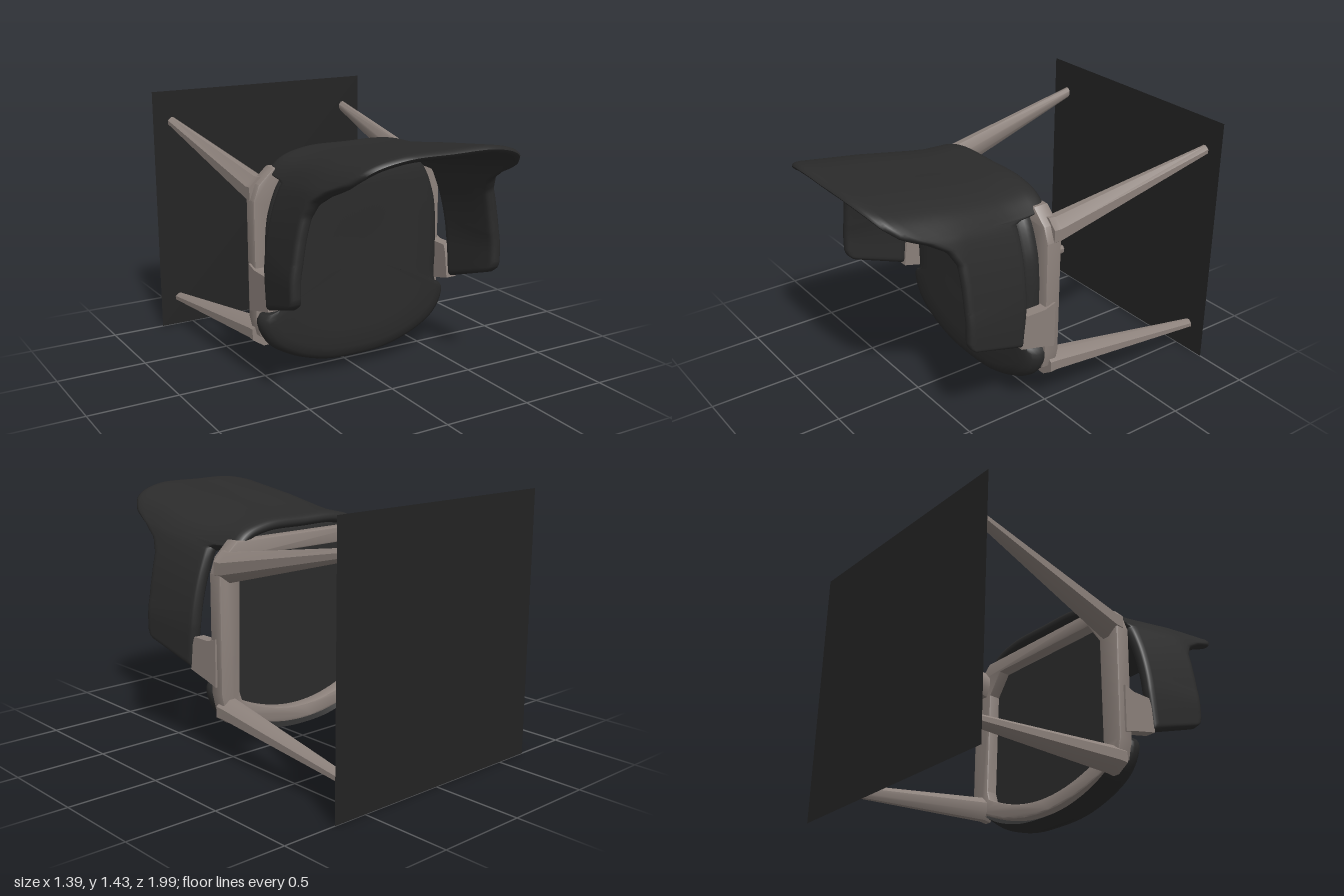
import * as THREE from 'three';
import { toCreasedNormals } from 'three/addons/utils/BufferGeometryUtils.js';

const material = (name, color) => {
  const m = new THREE.MeshStandardMaterial({ color, side: THREE.DoubleSide });
  m.name = name;
  return m;
};

// Linear interpolation in a short [key, value] table
function lookup(table, k) {
  if (k <= table[0][0]) return table[0][1];
  for (let i = 1; i < table.length; i++) {
    const [k0, v0] = table[i - 1], [k1, v1] = table[i];
    if (k <= k1) return v0 + (v1 - v0) * (k - k0) / (k1 - k0);
  }
  return table[table.length - 1][1];
}

// Closed solid through rings of [x, y, z] points, capped at both ends
function loft(rings, crease = 0.6) {
  const n = rings[0].length, pos = rings.flat(2), index = [];
  for (let r = 0; r < rings.length - 1; r++) {
    for (let i = 0; i < n; i++) {
      const a = r * n + i, b = r * n + (i + 1) % n;
      index.push(a, b, b + n, a, b + n, a + n);
    }
  }
  [0, rings.length - 1].forEach((r) => {
    const c = pos.length / 3;
    for (let k = 0; k < 3; k++) pos.push(rings[r].reduce((s, p) => s + p[k], 0) / n);
    for (let i = 0; i < n; i++) {
      const a = r * n + i, b = r * n + (i + 1) % n;
      if (r === 0) index.push(c, b, a); else index.push(c, a, b);
    }
  });
  // turn the faces outward if the signed volume is negative
  const p = (i) => new THREE.Vector3().fromArray(pos, i * 3);
  let volume = 0;
  for (let i = 0; i < index.length; i += 3) volume += p(index[i]).dot(p(index[i + 1]).cross(p(index[i + 2])));
  if (volume < 0) index.reverse();
  const g = new THREE.BufferGeometry();
  g.setAttribute('position', new THREE.Float32BufferAttribute(pos, 3));
  g.setIndex(index);
  return toCreasedNormals(g, crease);
}

// Curve through half an outline mirrored over x = 0
function mirroredCurve(half, closed) {
  const right = half.map(([x, y]) => new THREE.Vector3(x, y, 0));
  const left = half.filter(([x]) => x > 0).map(([x, y]) => new THREE.Vector3(-x, y, 0)).reverse();
  return new THREE.CatmullRomCurve3(closed ? [...right, ...left] : [...left, ...right], closed);
}

// Padded seat: outline rings from the underside over the rim to the domed top
function seatGeometry() {
  const outline = mirroredCurve([[0, 0.06], [0.2, 0.075], [0.4, 0.14], [0.52, 0.22], [0.575, 0.32], [0.572, 0.385],
    [0.53, 0.41], [0.525, 0.6], [0.522, 0.8], [0.5, 0.95], [0.42, 1.12], [0.28, 1.19], [0, 1.2]], true)
    .getSpacedPoints(120).slice(0, 120);
  const lip = [[0.2, -0.015], [0.32, 0.05]];
  const rings = [[0.85, 0.05], [0.9, 0.05], [0.96, null], [0.99, 0.06], [1, 0.09], [0.995, 0.115], [0.975, 0.14],
    [0.94, 0.157], [0.87, 0.168], [0.7, 0.17], [0.35, 0.165]];
  return loft(rings.map(([s, z]) => outline.map((p) =>
    [p.x * s, 0.65 + (p.y - 0.65) * s, z === null ? lookup(lip, p.y) : z])), 1);
}

// Wrap-around back with arms: a plan curve carrying columns of varying height
function backGeometry() {
  const plan = mirroredCurve([[0, 1.255], [0.25, 1.25], [0.4, 1.205], [0.48, 1.12], [0.535, 1.0],
    [0.575, 0.85], [0.595, 0.7], [0.597, 0.46]], false);
  const top = [[0.46, 0.54], [0.49, 0.57], [0.53, 0.58], [0.9, 0.58], [1.0, 0.585], [1.06, 0.63], [1.1, 0.73],
    [1.14, 0.86], [1.19, 0.93], [1.23, 0.965], [1.255, 0.99]];
  const bottom = [[0.46, 0.225], [0.7, 0.2], [1.12, 0.185], [1.135, -0.015]];
  const flare = [[0, 0], [0.2, 0.005], [0.4, 0.035], [0.6, 0.065], [1, 0.12]];
  const thickness = [[0.5, 0.065], [1, 0.04]];
  const steps = [0, 0.008, 0.025, 0.05, 0.1, 0.2, 0.3, 0.4, 0.5, 0.6, 0.7, 0.8, 0.9, 0.95, 0.975, 0.992, 1];
  const round = (d) => Math.sqrt(1 - (1 - Math.min(1, d)) ** 2);
  const sides = [...steps.map((v) => [v, 0]), ...steps.slice(1, -1).reverse().map((v) => [v, 1])];
  const length = plan.getLength(), columns = 180, rings = [];
  for (let i = 0; i <= columns; i++) {
    const u = i / columns, p = plan.getPointAt(u), t = plan.getTangentAt(u);
    const tip = round((Math.min(u, 1 - u) * length + 0.002) / 0.03);
    const z0 = lookup(bottom, p.y), z1 = lookup(top, p.y);
    rings.push(sides.map(([v, inner]) => {
      const z = z0 + (z1 - z0) * v, f = lookup(flare, z), h = lookup(thickness, z);
      const edge = tip * round(Math.min(v, 1 - v) / 0.05);
      const depth = h / 2 + (inner ? 1 : -1) * edge * h / 2;
      const slant = 0.33 * (z - 0.22) * THREE.MathUtils.clamp((0.8 - p.y) / 0.34, 0, 1);
      const grow = THREE.MathUtils.clamp(Math.abs(p.x) / 0.5, 0, 1);
      return [
        p.x + Math.sign(p.x) * grow * Math.min(f, 0.06) * 0.65 + t.y * depth,
        p.y + f * THREE.MathUtils.clamp((p.y - 0.8) / 0.3, 0, 1) + slant - t.x * depth,
        z,
      ];
    }));
  }
  return loft(rings, 0.9);
}

// Under-seat frame: a ring with straight sides and a bowed front rail
function frameGeometry() {
  const ring = (target, points, [cx, cy]) => {
    target.moveTo(points[0][0], points[0][1]);
    points.slice(1).forEach(([x, y]) => target.lineTo(x, y));
    target.quadraticCurveTo(cx, cy, points[0][0], points[0][1]);
    return target;
  };
  const side = [[0.55, 0.27], [0.57, 0.36], [0.57, 1.0], [0.54, 1.08], [0.46, 1.155]];
  const hole = [[0.45, 0.3], [0.47, 0.36], [0.46, 0.96], [0.37, 1.09]];
  const mirror = (half) => [...half, ...half.map(([x, y]) => [-x, y]).reverse()];
  const shape = ring(new THREE.Shape(), mirror(side), [0, -0.03]);
  shape.holes.push(ring(new THREE.Path(), mirror(hole), [0, 0.06]));
  const g = new THREE.ExtrudeGeometry(shape, { depth: 0.07, bevelSize: 0.01, bevelThickness: 0.01, bevelSegments: 2, curveSegments: 24 });
  g.translate(0, 0, -0.008);
  return toCreasedNormals(g, 0.5);
}

// Tapered leg with a softened four-sided section; each end is [x0, x1, y0, y1, z]
function legGeometry(ends) {
  return loft(ends.map(([x0, x1, y0, y1, z]) => [[0.5, 0], [1, 0.3], [1, 0.7], [0.6, 1], [0.3, 1], [0, 0.7], [0, 0.3], [0.2, 0]]
    .map(([a, b]) => [x0 + (x1 - x0) * a, y0 + (y1 - y0) * b, z])), 0.7);
}

export function createModel() {
  const model = new THREE.Group();
  model.name = 'armchair';
  const upholstery = material('charcoal upholstery', 0x2b2b2b);
  const wood = material('grey brown wood', 0x8c817b);
  const floor = material('dark floor', 0x232323);

  const add = (name, geometry, mat) => {
    const mesh = new THREE.Mesh(geometry, mat);
    mesh.name = name;
    model.add(mesh);
    return mesh;
  };

  add('seat', seatGeometry(), upholstery);
  add('backAndArms', backGeometry(), upholstery);
  add('seatFrame', frameGeometry(), wood);

  // Legs and arm brackets, mirrored to both sides
  const backLeg = legGeometry([[0.455, 0.583, 0.95, 1.12, 0.03], [0.455, 0.583, 0.955, 1.115, -0.015], [0.555, 0.605, 1.225, 1.28, -0.998]]);
  const frontLeg = legGeometry([[0.455, 0.583, 0.19, 0.335, 0.03], [0.455, 0.583, 0.195, 0.33, -0.015], [0.555, 0.605, 0.142, 0.195, -0.998]]);
  const bracketSide = [[0.4, 0.02], [0.42, 0.09], [0.455, 0.235], [0.6, 0.215], [0.64, 0.2], [0.64, 0.085], [0.66, 0.02]];
  const bracket = loft([0.53, 0.592].map((x) => bracketSide.map(([y, z]) => [x, y, z])), 0.4);
  for (const [label, sign] of [['left', 1], ['right', -1]]) {
    for (const [name, g] of [['BackLeg', backLeg], ['FrontLeg', frontLeg], ['ArmBracket', bracket]]) {
      add(label + name, g, wood).scale.x = sign;
    }
  }

  // Floor panel under the feet
  const panel = add('floorPanel', new THREE.PlaneGeometry(1.39, 1.435), floor);
  panel.position.set(0, 0.7175, -1);
  return model;
}
